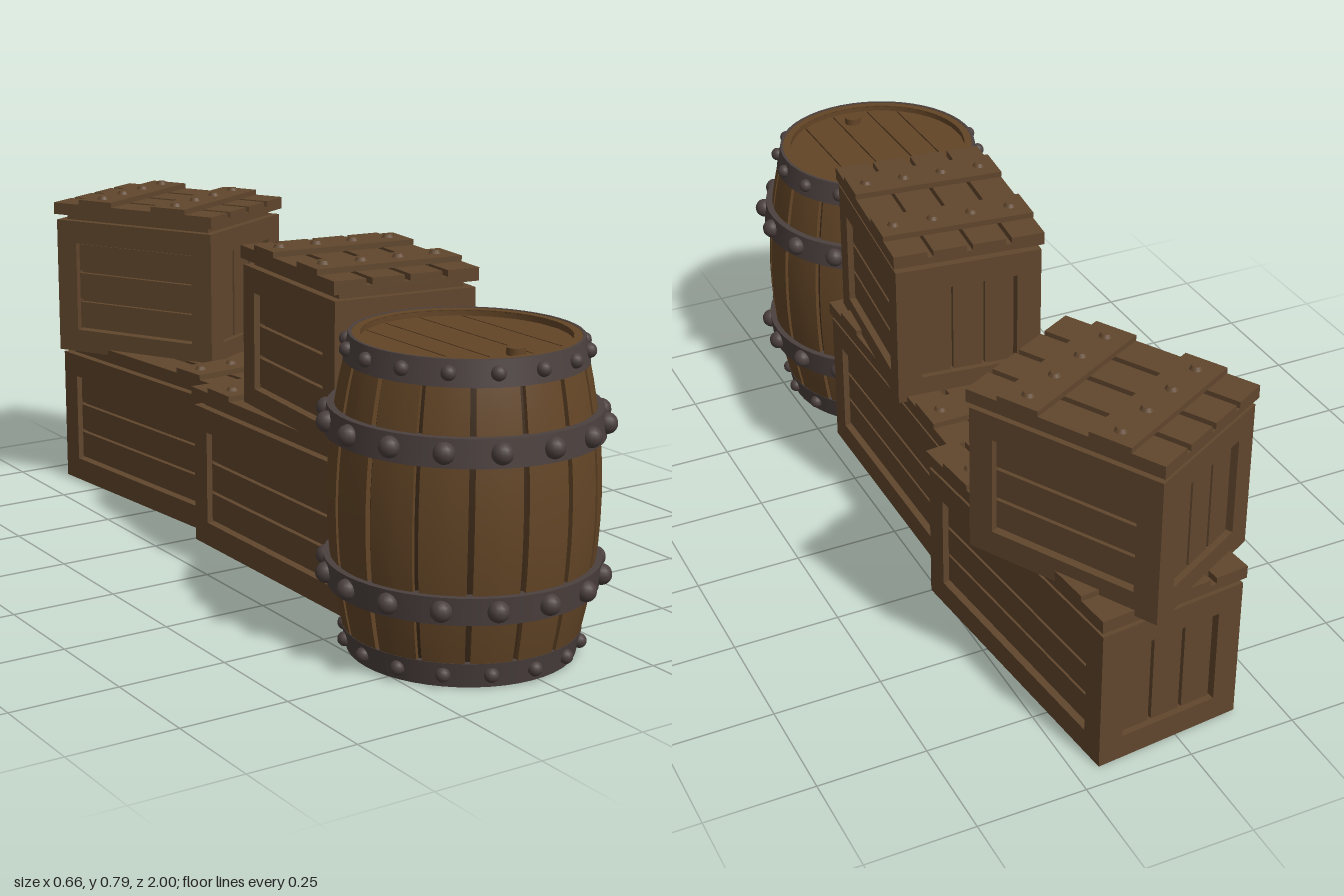
import * as THREE from 'three';

const mat = (name, color) => Object.assign(new THREE.MeshStandardMaterial({ color }), { name });
const crateWood = mat('crate wood', 0x60462d);
const barrelWood = mat('barrel wood', 0x634526);
const gapWood = mat('dark gap wood', 0x3a2817);
const iron = mat('dark iron', 0x4b403e);

function add(parent, name, geometry, material, x = 0, y = 0, z = 0) {
  const mesh = new THREE.Mesh(geometry, material);
  mesh.name = name;
  mesh.position.set(x, y, z);
  parent.add(mesh);
  return mesh;
}
const box = (w, h, d) => new THREE.BoxGeometry(w, h, d);

// Crate wall: a picture frame around recessed boards; the outer face is local z = 0
const BODY = 0.345, FRAME = 0.058, DEEP = 0.028;
function crateWall(name, width, full, horizontal) {
  const wall = new THREE.Group();
  wall.name = name;
  const border = FRAME - (full - width) / 2;
  const iw = width - 2 * border, ih = BODY - 2 * FRAME;
  const shape = new THREE.Shape();
  shape.moveTo(-width / 2, 0).lineTo(width / 2, 0).lineTo(width / 2, BODY).lineTo(-width / 2, BODY).closePath();
  const hole = new THREE.Path();
  hole.moveTo(-iw / 2, FRAME).lineTo(-iw / 2, BODY - FRAME).lineTo(iw / 2, BODY - FRAME).lineTo(iw / 2, FRAME).closePath();
  shape.holes.push(hole);
  const frame = new THREE.ExtrudeGeometry(shape, { depth: DEEP, bevelEnabled: false });
  add(wall, name + 'Frame', frame, crateWood, 0, 0, -DEEP);
  const gap = 0.008, span = horizontal ? ih : iw;
  const pitch = span / 3;
  for (let i = -1; i <= 1; i++) {
    const g = horizontal ? box(iw, pitch - gap, 0.012) : box(pitch - gap, ih, 0.012);
    add(wall, name + 'Board', g, crateWood, horizontal ? 0 : i * pitch, BODY / 2 + (horizontal ? i * pitch : 0), -0.021);
  }
  return wall;
}

function crate(name, length, crossZ, x, y, z, turn) {
  const g = new THREE.Group();
  g.name = name;
  g.position.set(x, y, z);
  g.rotation.y = turn;
  const W = 0.35, L = length - 0.01;
  add(g, 'crateCore', box(W - 2 * DEEP, BODY, L - 2 * DEEP), crateWood, 0, BODY / 2, 0);
  for (const s of [1, -1]) {
    const side = crateWall('sideWall', L, L, true);
    side.position.x = s * W / 2;
    side.rotation.y = s * Math.PI / 2;
    const end = crateWall('endWall', W - 2 * DEEP, W, false);
    end.position.z = s * L / 2;
    end.rotation.y = s > 0 ? 0 : Math.PI;
    g.add(side, end);
  }
  // Lid: recessed neck, slab, four long boards, two bolted cross planks
  add(g, 'lidNeck', box(W - 0.04, 0.016, L - 0.04), crateWood, 0, BODY + 0.008, 0);
  add(g, 'lidSlab', box(0.36, 0.015, length), crateWood, 0, 0.3675, 0);
  for (let i = 0; i < 4; i++)
    add(g, 'lidBoard', box(0.079, 0.015, length), crateWood, (i - 1.5) * 0.0937, 0.3825, 0);
  for (const s of [1, -1]) {
    add(g, 'crossPlank', box(0.362, 0.013, 0.1), crateWood, 0, 0.3965, s * crossZ);
    for (let i = 0; i < 4; i++)
      add(g, 'plankBolt', new THREE.CylinderGeometry(0.01, 0.015, 0.008, 10), crateWood, (i - 1.5) * 0.0937, 0.407, s * crossZ);
  }
  return g;
}

// Barrel
const H = 0.69;
const radiusAt = y => 0.29 - 0.047 * Math.pow(Math.abs(y / H * 2 - 1), 2);
function stave(angle) {
  const g = new THREE.BoxGeometry(1, 1, 1, 3, 14, 1), p = g.attributes.position;
  for (let i = 0; i < p.count; i++) {
    const y = (p.getY(i) + 0.5) * (H - 0.004) + 0.002;
    const a = angle + p.getX(i) * (Math.PI / 8 - 0.045);
    const r = radiusAt(y) - (0.5 - p.getZ(i)) * 0.022;
    p.setXYZ(i, Math.sin(a) * r, y, Math.cos(a) * r);
  }
  g.computeVertexNormals();
  return g;
}
// Closed ring with a rectangular section, flat normals kept on each face
function ring(parent, name, material, y0, y1, rIn, r0, r1) {
  const part = pts => new THREE.LatheGeometry(pts.map(q => new THREE.Vector2(...q)), 48);
  add(parent, name, part([[r0, y0], [r1, y1]]), material);
  add(parent, name + 'Top', part([[r1, y1], [rIn, y1]]), material);
  add(parent, name + 'Bottom', part([[rIn, y0], [r0, y0]]), material);
  add(parent, name + 'Inside', part([[rIn, y1], [rIn, y0]]), material);
}
function barrel() {
  const g = new THREE.Group();
  g.name = 'barrel';
  g.position.set(-0.015, 0, 0.68);
  for (let i = 0; i < 16; i++) add(g, 'stave', stave(i * Math.PI / 8), barrelWood);
  const core = [];
  for (let i = 0; i <= 14; i++) {
    const y = 0.012 + (H - 0.024) * i / 14;
    core.push(new THREE.Vector2(radiusAt(y) - 0.012, y));
  }
  add(g, 'barrelCore', new THREE.LatheGeometry(core, 48), gapWood);
  // Heads: planks clipped to a circle, over a dark disc
  const R = 0.222, edges = [-0.222, -0.13, -0.058, 0.035, 0.125, 0.222];
  for (const top of [true, false]) {
    const y = top ? H - 0.025 : 0.025;
    add(g, 'headDisc', new THREE.CylinderGeometry(0.235, 0.235, 0.01, 40), gapWood, 0, top ? y - 0.006 : y + 0.006, 0);
    for (let k = 0; k < 5; k++) {
      const a = edges[k] + 0.002, b = edges[k + 1] - 0.002, pts = [];
      for (let i = 0; i <= 8; i++) {
        const x = a + (b - a) * i / 8;
        pts.push(new THREE.Vector2(x, Math.sqrt(R * R - x * x)));
      }
      const outline = [...pts, ...pts.map(q => new THREE.Vector2(q.x, -q.y)).reverse()];
      const plank = new THREE.ExtrudeGeometry(new THREE.Shape(outline), { depth: 0.01, bevelEnabled: false });
      plank.rotateX(-Math.PI / 2);
      add(g, 'headPlank', plank, barrelWood, 0, top ? y : y - 0.01, 0);
    }
    ring(g, 'headRim', barrelWood, top ? H - 0.035 : 0.001, top ? H - 0.001 : 0.035, 0.222, 0.242, 0.242);
  }
  add(g, 'bung', new THREE.CylinderGeometry(0.02, 0.02, 0.022, 16), barrelWood, 0, H - 0.01, 0.165);
  // Iron hoops with domed rivets: [bottom, top, lower radius, upper radius, rivet radius]
  const hoops = [
    [0, 0.055, 0.247, 0.258, 0.016], [0.15, 0.21, 0.291, 0.297, 0.023],
    [0.48, 0.54, 0.297, 0.291, 0.023], [0.635, H, 0.258, 0.247, 0.016]];
  for (const [y0, y1, r0, r1, s] of hoops) {
    ring(g, 'hoop', iron, y0, y1, Math.min(r0, r1) - 0.022 + (s > 0.02 ? 0 : 0.015), r0, r1);
    for (let i = 0; i < 16; i++) {
      const a = i * Math.PI / 8, r = (r0 + r1) / 2 + 0.002;
      add(g, 'rivet', new THREE.SphereGeometry(s, 14, 10), iron, Math.sin(a) * r, (y0 + y1) / 2 + 0.001, Math.cos(a) * r);
    }
  }
  return g;
}

export function createModel() {
  const model = new THREE.Group();
  model.name = 'barrelAndCrates';
  model.add(
    barrel(),
    crate('frontLongCrate', 0.715, 0.228, 0.036, 0, 0.108, 0),
    crate('backLongCrate', 0.715, 0.228, 0.055, 0, -0.582, 0.098),
    crate('frontTopCrate', 0.475, 0.11, 0.037, 0.376, 0.195, -0.11),
    crate('backTopCrate', 0.475, 0.11, 0.056, 0.376, -0.707, 0.5));
  return model;
}
